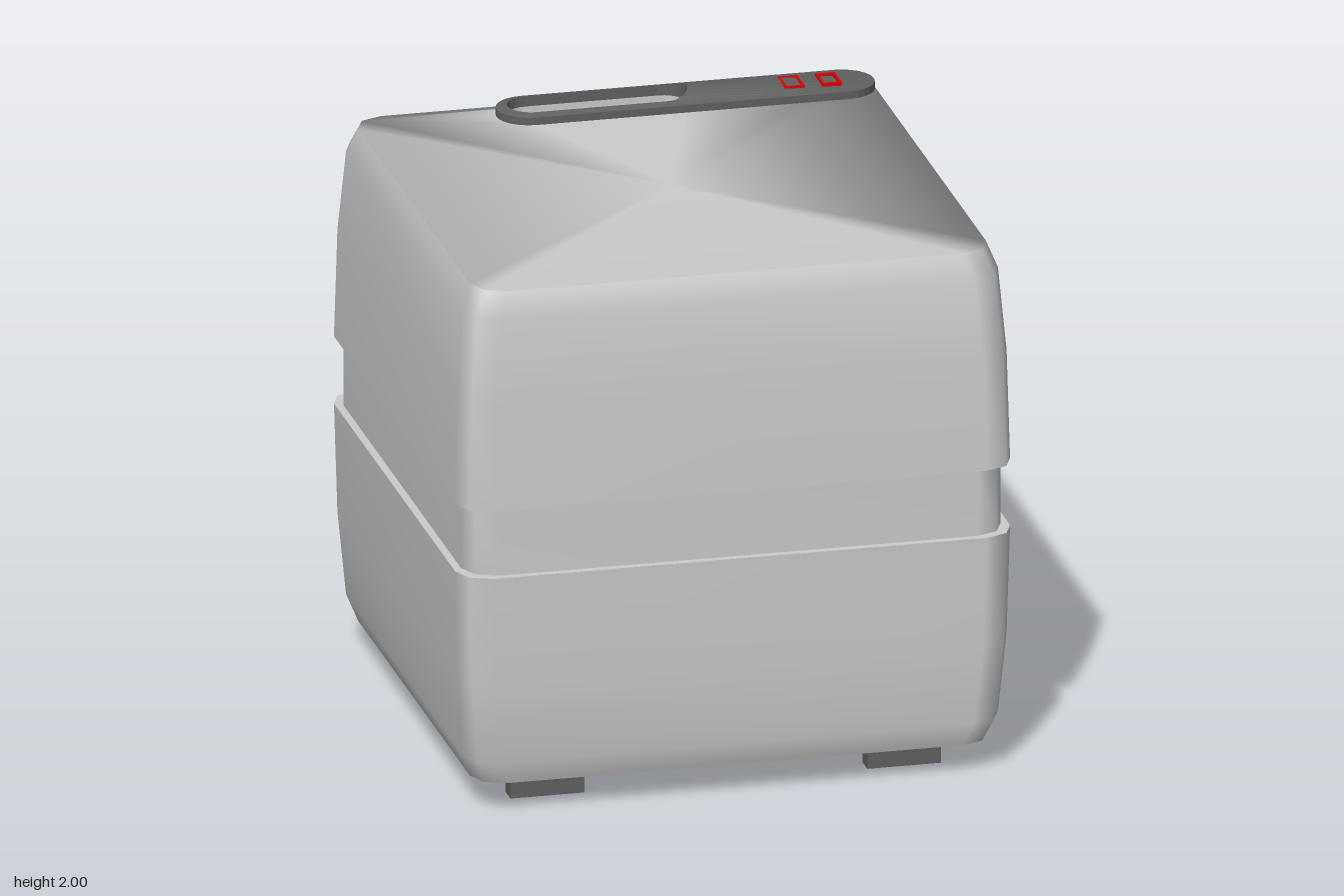
import * as THREE from 'three';

const grey = new THREE.MeshStandardMaterial({ color: 0xcccccc });
const dark = new THREE.MeshStandardMaterial({ color: 0x606060 });
const red = new THREE.MeshStandardMaterial({ color: 0xdd0000 });

const CORNER = 0.11;
const TOP = 1.94, BOTTOM = 0.11;

// Horizontal rounded rectangle; n segments per corner
function ring(hx, hz, r, n, y, cx = 0, cz = 0) {
  const pts = [];
  for (let k = 0; k < 4; k++) {
    const sx = k === 0 || k === 3 ? 1 : -1, sz = k < 2 ? 1 : -1;
    for (let j = 0; j <= n; j++) {
      const a = (k + j / n) * Math.PI / 2;
      pts.push(new THREE.Vector3(
        cx + sx * (hx - r) + r * Math.cos(a), y, cz + sz * (hz - r) + r * Math.sin(a)));
    }
  }
  return pts;
}
const square = (h, y) => ring(h, h, CORNER, 2, y);
const slot = (y) => ring(0.3225, 0.0825, 0.0825, 6, y, -0.068, -0.8225);

// Skin over a list of rings with equal point counts
function loft(rings, flat = false) {
  const n = rings[0].length, index = [];
  for (let s = 0; s < rings.length - 1; s++) {
    for (let i = 0; i < n; i++) {
      const a = s * n + i, b = s * n + (i + 1) % n;
      index.push(a, a + n, b + n, a, b + n, b);
    }
  }
  let geo = new THREE.BufferGeometry().setFromPoints(rings.flat());
  geo.setIndex(index);
  if (flat) geo = geo.toNonIndexed();
  geo.computeVertexNormals();
  return geo;
}

function add(parent, name, geo, mat = grey) {
  const mesh = new THREE.Mesh(geo, mat);
  mesh.name = name;
  parent.add(mesh);
  return mesh;
}

// End face in four wedges meeting at the centre, rim normals blended outward
function addCap(parent, name, y, s) {
  const to2D = (p) => new THREE.Vector2(p.x, -s * p.z);
  const rim = square(0.93, y), inner = 0.93 - CORNER;
  for (let k = 0; k < 4; k++) {
    const pts = [0, 1, 2, 3].map((i) => to2D(rim[(3 * k + 1 + i) % 12]));
    const shape = new THREE.Shape([...pts, new THREE.Vector2(0, 0)]);
    if (k === 2) shape.holes.push(new THREE.Path(slot(y).map(to2D)));
    const geo = new THREE.ShapeGeometry(shape);
    geo.rotateX(-s * Math.PI / 2).translate(0, y, 0);
    const pos = geo.attributes.position, v = new THREE.Vector3();
    for (let i = 0; i < pos.count; i++) {
      const x = pos.getX(i), z = pos.getZ(i);
      if (Math.abs(x) + Math.abs(z) < 1.5) continue;
      v.set((x - Math.sign(x) * inner) / CORNER, 0.3 * s, (z - Math.sign(z) * inner) / CORNER).normalize();
      geo.attributes.normal.setXYZ(i, v.x, v.y, v.z);
    }
    add(parent, name, geo);
  }
}

export function createModel() {
  const model = new THREE.Group();
  model.name = 'boxBody';

  // Two bulging shells with a recessed band between them
  const profile = [[0.11, 0.93], [0.2, 0.965], [0.5, 0.99], [0.9, 1]];
  add(model, 'lowerShell', loft(profile.map(([y, h]) => square(h, y))));
  add(model, 'upperShell', loft(profile.map(([y, h]) => square(h, TOP + BOTTOM - y)).reverse()));
  add(model, 'lowerLedge', loft([square(1, 0.9), square(0.972, 0.9)], true));
  add(model, 'middleBand', loft([square(0.972, 0.9), square(0.972, 1.15)]));
  add(model, 'upperLedge', loft([square(0.972, 1.15), square(1, 1.15)], true));
  addCap(model, 'topFace', TOP, 1);
  addCap(model, 'bottomFace', BOTTOM, -1);

  // Slot running vertically through the body
  add(model, 'slotTunnel', loft([slot(TOP), slot(BOTTOM)]));

  // Control panel around the slot, peaked beside the slot's end
  const outer = (y) => ring(0.68, 0.115, 0.115, 6, y, 0.25, -0.825);
  const lip = slot(1.977);
  for (const p of lip) {
    if (p.x > 0.17) p.y += 0.023 * ((p.x - 0.172) / 0.0825) ** 2;
  }
  add(model, 'controlPanel', loft([outer(TOP), outer(1.968), lip, slot(TOP)], true), dark);

  // Lit segments of the readout, two rectangular frames
  const display = new THREE.Group();
  display.name = 'displaySegments';
  model.add(display);
  const bar = (x, z, w, d) =>
    add(display, 'segment', new THREE.BoxGeometry(w, 0.016, d).translate(x, 1.976, z), red);
  for (const cx of [0.63, 0.765]) {
    for (const s of [-1, 1]) {
      bar(cx + s * 0.031, -0.82, 0.01, 0.11);
      bar(cx, -0.82 + s * 0.05, 0.062, 0.01);
    }
  }

  // Four feet
  for (const x of [-0.643, 0.643]) {
    for (const z of [-0.6, 0.755]) {
      add(model, 'foot', new THREE.BoxGeometry(0.266, 0.11, 0.072).translate(x, 0.055, z), dark);
    }
  }
  return model;
}
